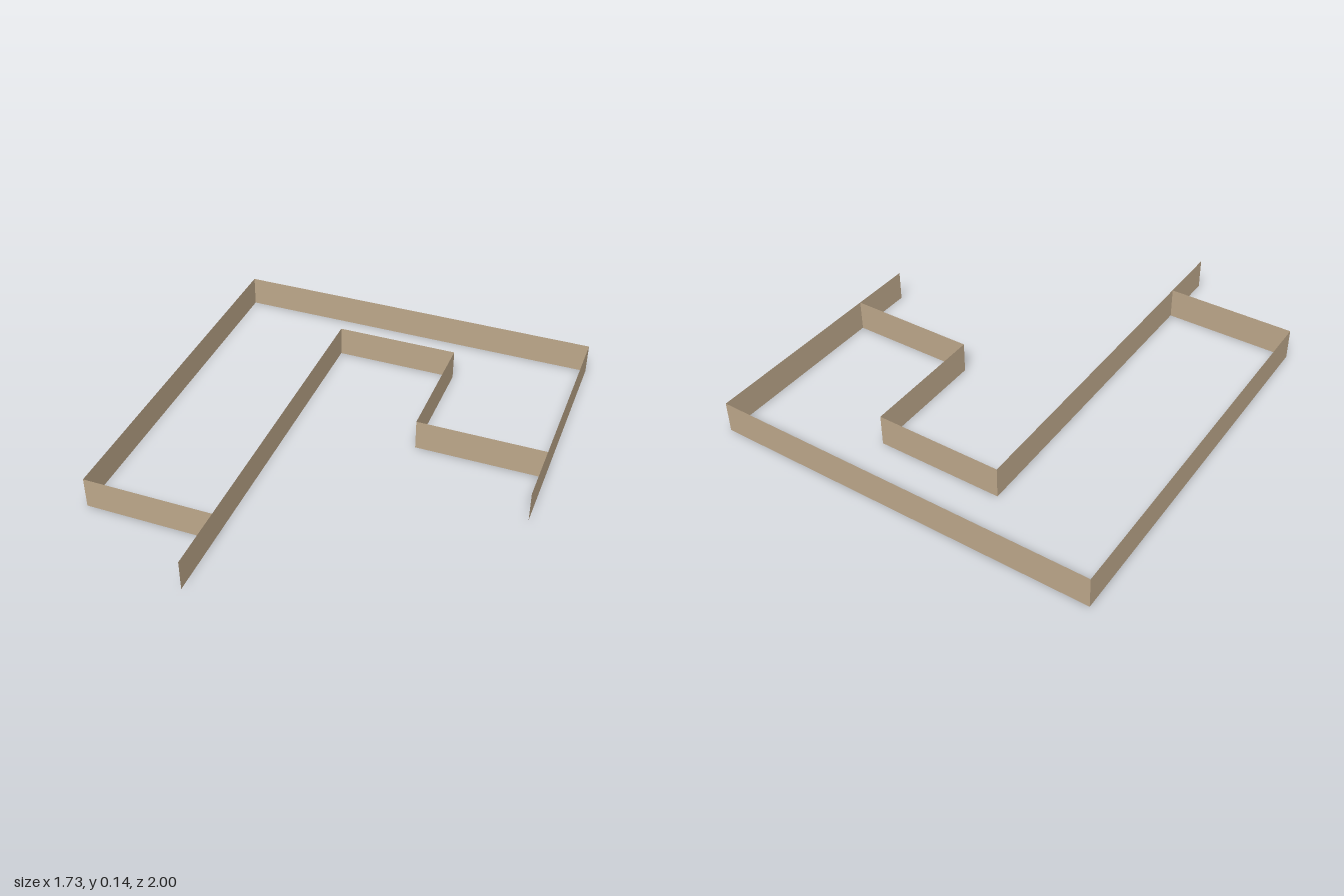
import * as THREE from 'three';

const HEIGHT = 0.14;

// An upright sheet of no thickness between two floor points [x, z].
function wall(name, [x1, z1], [x2, z2], material) {
  const dx = x2 - x1, dz = z2 - z1;
  const mesh = new THREE.Mesh(new THREE.PlaneGeometry(Math.hypot(dx, dz), HEIGHT), material);
  mesh.name = name;
  mesh.position.set((x1 + x2) / 2, HEIGHT / 2, (z1 + z2) / 2);
  mesh.rotation.y = Math.atan2(-dz, dx);
  return mesh;
}

export function createModel() {
  const group = new THREE.Group();
  group.name = 'floorPlanWalls';
  const plaster = new THREE.MeshStandardMaterial({ color: 0xbea88b, side: THREE.DoubleSide });
  plaster.name = 'tanPlaster';

  // Corners of the plan; side walls lean slightly off the z axis.
  const backRight = [-0.868, -1], backLeft = [0.853, -1];
  const frontRight = [-0.849, 0.708], innerBackRight = [-0.285, -0.723];
  const innerBackLeft = [0.279, -0.723], notchLeft = [0.285, -0.15];

  const walls = [
    ['backWall', backRight, backLeft],
    ['rightOuterWall', frontRight, backRight],
    ['frontRightWall', frontRight, [-0.27, 0.708]],
    ['longInnerWall', [-0.266, 1], innerBackRight],
    ['innerBackWall', innerBackRight, innerBackLeft],
    ['shortInnerWall', innerBackLeft, notchLeft],
    ['frontLeftWall', notchLeft, [0.862, -0.15]],
    ['leftOuterWall', backLeft, [0.866, 0.138]],
  ];
  for (const [name, a, b] of walls) group.add(wall(name, a, b, plaster));
  return group;
}
